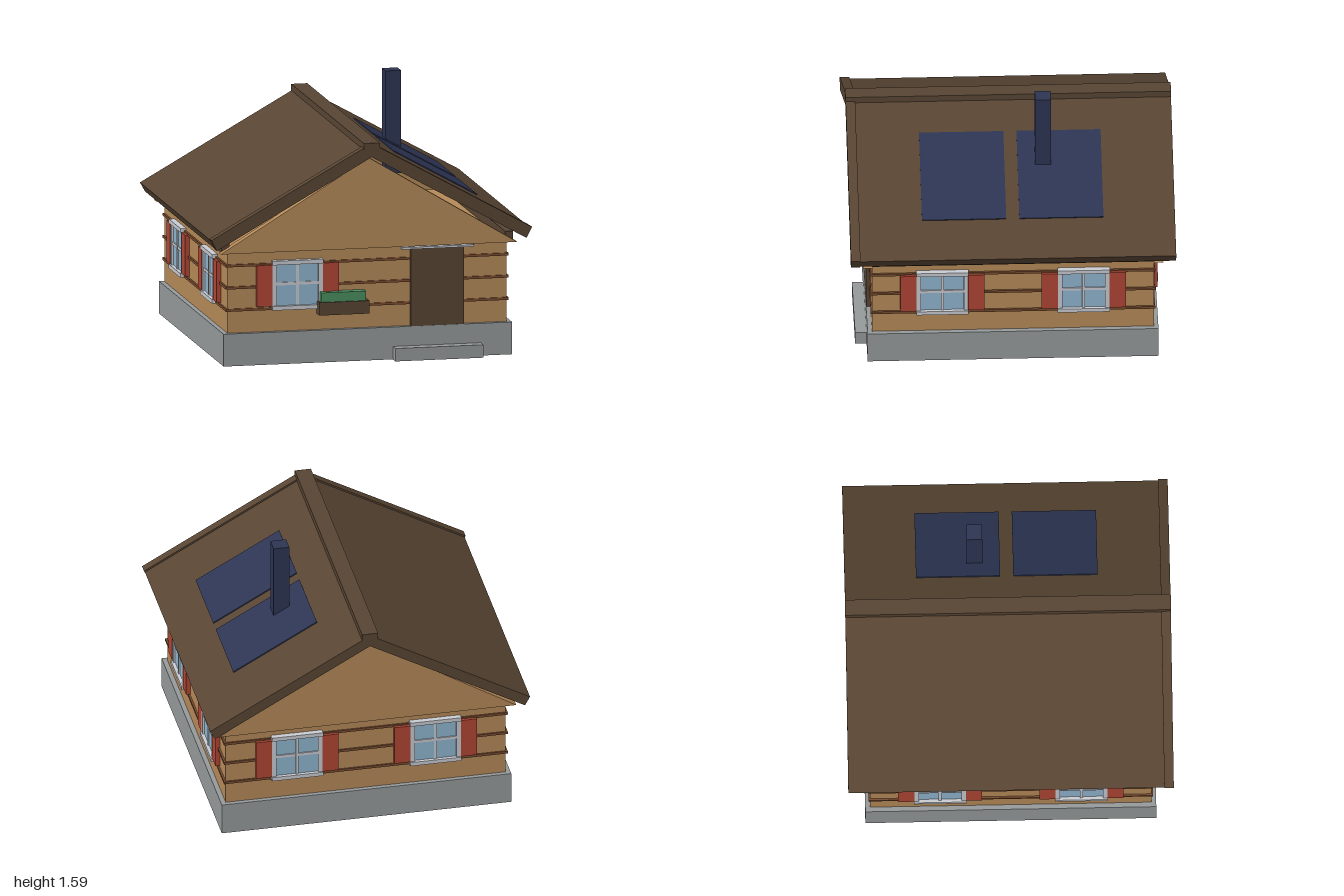
import * as THREE from 'three';

const mat = (name, color) => {
  const m = new THREE.MeshStandardMaterial({ color });
  m.name = name;
  return m;
};

export function createModel() {
  const wood = mat('warm timber', 0xb68a59);
  const stone = mat('grey stone', 0x969a9b);
  const darkWood = mat('dark brown wood', 0x584533);
  const seamWood = mat('seam brown', 0x7a4c2f);
  const navy = mat('navy', 0x2d3553);
  const red = mat('shutter red', 0xb04634);
  const white = mat('pale grey trim', 0xc9ccd2);
  const glass = mat('window blue', 0x90b6d0);
  const green = mat('plant green', 0x4c8f60);

  const house = new THREE.Group();
  house.name = 'house';

  const add = (parent, name, geometry, material) => {
    const mesh = new THREE.Mesh(geometry, material);
    mesh.name = name;
    parent.add(mesh);
    return mesh;
  };
  // Box given by its limits on each axis
  const box = (parent, name, material, [x0, x1], [y0, y1], [z0, z1]) => {
    const mesh = add(parent, name, new THREE.BoxGeometry(x1 - x0, y1 - y0, z1 - z0), material);
    mesh.position.set((x0 + x1) / 2, (y0 + y1) / 2, (z0 + z1) / 2);
    return mesh;
  };
  // Outline in x and y, extruded from z0 to z1
  const prism = (parent, name, material, points, z0, z1) => {
    const shape = new THREE.Shape(points.map(([x, y]) => new THREE.Vector2(x, y)));
    const geometry = new THREE.ExtrudeGeometry(shape, { depth: z1 - z0, bevelEnabled: false });
    return add(parent, name, geometry.translate(0, 0, z0), material);
  };

  // Base and walls
  box(house, 'foundation', stone, [-0.9, 0.9], [0, 0.2], [-0.885, 0.885]);
  box(house, 'doorStep', stone, [0.155, 0.705], [0, 0.08], [0.885, 0.955]);
  box(house, 'walls', wood, [-0.87, 0.87], [0.2, 0.7], [-0.857, 0.857]);
  for (const y of [0.342, 0.48, 0.617]) {
    box(house, 'logSeam', seamWood, [-0.882, 0.882], [y - 0.008, y + 0.008], [-0.866, 0.866]);
  }

  // Gables and eave beams
  const gable = [[-0.925, 0.7], [0.925, 0.7], [0, 1.26]];
  prism(house, 'frontGable', wood, gable, 0.857, 0.913);
  prism(house, 'backGable', wood, gable, -0.913, -0.857);
  for (const s of [-1, 1]) {
    box(house, 'eaveBeam', darkWood, s > 0 ? [0.86, 0.91] : [-0.91, -0.86], [0.7, 0.76], [-0.87, 0.87]);
  }

  // Roof slopes, front verge boards and ridge cap
  const slope = 0.56;
  const roofTop = 1.352;
  const roofY = (x) => roofTop - slope * x;
  for (const s of [-1, 1]) {
    prism(house, 'roofSlope', darkWood, [
      [0, 1.278], [s * 0.963, 1.278 - slope * 0.963], [s * 0.994, roofY(0.994)], [0, roofTop],
    ], -0.99, 0.985);
    prism(house, 'vergeBoard', darkWood, [
      [0, 1.278], [s * 0.966, 1.278 - slope * 0.966], [s, roofY(1) + 0.012], [0, roofTop + 0.012],
    ], 0.932, 0.99);
  }
  box(house, 'ridgeCap', darkWood, [-0.05, 0.05], [1.325, 1.365], [-0.991, 0.991]);

  // Solar panels and chimney
  const panel = [
    [0.236, roofY(0.236) - 0.005], [0.755, roofY(0.755) - 0.005],
    [0.76, roofY(0.76) + 0.008], [0.24, roofY(0.24) + 0.008],
  ];
  for (const [z0, z1] of [[-0.555, -0.043], [0.037, 0.55]]) {
    prism(house, 'solarPanel', navy, panel, z0, z1);
  }
  box(house, 'chimney', navy, [0.345, 0.443], [0.95, 1.585], [-0.245, -0.15]);

  // Door with a slim canopy
  box(house, 'door', darkWood, [0.268, 0.6], [0.2, 0.68], [0.85, 0.882]);
  box(house, 'doorCanopy', white, [0.21, 0.66], [0.68, 0.692], [0.85, 0.9]);

  // Window with shutters, facing +z with the wall at z = 0
  const makeWindow = () => {
    const w = new THREE.Group();
    w.name = 'window';
    box(w, 'glass', glass, [-0.14, 0.14], [0.35, 0.625], [-0.01, 0.014]);
    for (const s of [-1, 1]) {
      const span = (a, b) => (s > 0 ? [a, b] : [-b, -a]);
      box(w, 'frameSide', white, span(0.13, 0.157), [0.335, 0.64], [-0.01, 0.026]);
      box(w, 'shutter', red, span(0.157, 0.256), [0.36, 0.615], [-0.01, 0.028]);
    }
    box(w, 'sill', white, [-0.159, 0.159], [0.335, 0.36], [-0.01, 0.036]);
    box(w, 'head', white, [-0.159, 0.159], [0.615, 0.64], [-0.01, 0.036]);
    box(w, 'uprightBar', white, [-0.009, 0.009], [0.36, 0.615], [-0.01, 0.022]);
    box(w, 'crossBar', white, [-0.13, 0.13], [0.486, 0.504], [-0.01, 0.021]);
    return w;
  };
  const placements = [[-0.437, 0.857, 0]];
  for (const s of [-0.43, 0.43]) {
    placements.push([s, -0.857, Math.PI], [0.87, s, Math.PI / 2], [-0.87, s, -Math.PI / 2]);
  }
  for (const [x, z, turn] of placements) {
    const w = makeWindow();
    w.position.set(x, 0, z);
    w.rotation.y = turn;
    house.add(w);
  }

  // Flower box
  box(house, 'flowerBox', darkWood, [-0.315, -0.003], [0.3, 0.38], [0.857, 0.936]);
  box(house, 'plants', green, [-0.3, -0.02], [0.37, 0.438], [0.867, 0.925]);

  return house;
}
